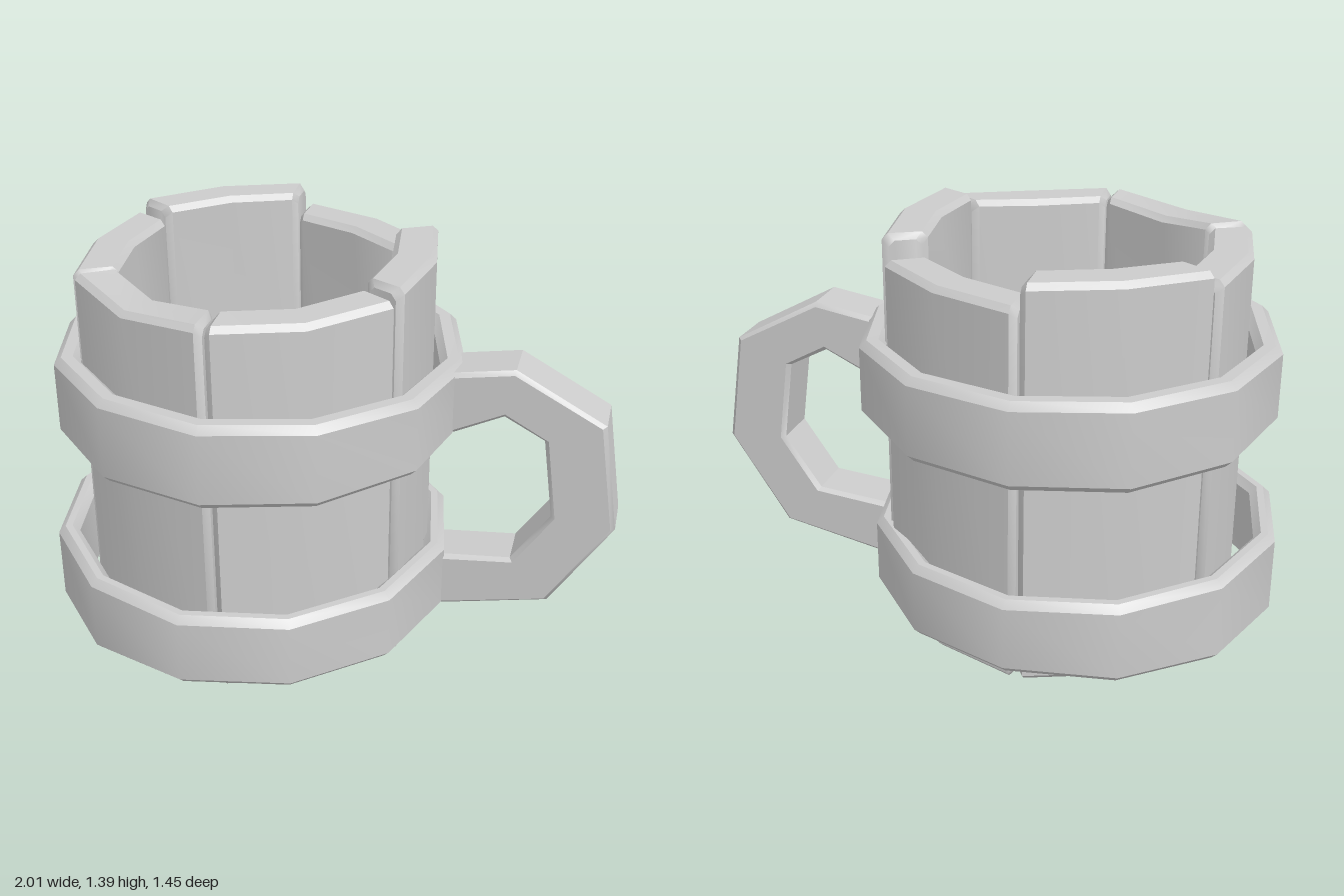
import * as THREE from 'three';
import { toCreasedNormals } from 'three/addons/utils/BufferGeometryUtils.js';

const material = new THREE.MeshStandardMaterial({ color: 0xcccccc, side: THREE.DoubleSide });
const CX = -0.26, CZ = -0.01; // axis of the mug body

// Rectangle u0..u1 by v0..v1 with chamfered corners, counter-clockwise
function chamferRect(u0, u1, v0, v1, c) {
  return [
    [u0 + c, v0], [u1 - c, v0], [u1, v0 + c], [u1, v1 - c],
    [u1 - c, v1], [u0 + c, v1], [u0, v1 - c], [u0, v0 + c],
  ];
}

// Skin over successive cross-sections; closed joins the last to the first
function loft(name, rings, closed) {
  const n = rings[0].length, index = [];
  const quads = closed ? rings.length : rings.length - 1;
  for (let r = 0; r < quads; r++) {
    const a = r * n, b = ((r + 1) % rings.length) * n;
    for (let i = 0; i < n; i++) {
      const j = (i + 1) % n;
      index.push(a + i, a + j, b + j, a + i, b + j, b + i);
    }
  }
  if (!closed) {
    const e = (rings.length - 1) * n;
    for (let i = 1; i < n - 1; i++) index.push(0, i + 1, i, e, e + i, e + i + 1);
  }
  const geometry = new THREE.BufferGeometry();
  geometry.setAttribute('position', new THREE.Float32BufferAttribute(rings.flat(2), 3));
  geometry.setIndex(index);
  const mesh = new THREE.Mesh(toCreasedNormals(geometry, 0.6), material);
  mesh.name = name;
  return mesh;
}

// Place a (radius, height) section at an angle around an upright axis
const around = (section, angle, cx, cz) =>
  section.map(([r, y]) => [cx + r * Math.cos(angle), y, cz + r * Math.sin(angle)]);

// One curved plank covering a sixth of the wall; tops = height at start, middle, end
function stave(k, bottom, tops) {
  const half = Math.PI / 6 - 0.006, bevel = 0.035;
  const rings = [-half, -half + bevel, 0, half - bevel, half].map((a, i) => {
    const inset = i === 0 || i === 4 ? 0.02 : 0;
    const grow = 0.025 * Math.abs(a) / half;
    const top = tops[Math.round(i / 2 + (i === 1 ? -0.5 : 0) + (i === 3 ? 0.1 : 0))];
    const section = chamferRect(0.45 + grow + inset, 0.6 + grow - inset, bottom + inset, top - inset, 0.02);
    return around(section, a + k * Math.PI / 3, CX, CZ);
  });
  return loft('stave', rings, false);
}

// Twelve-sided hoop, its edges waving a little in height
function hoop(name, o) {
  const rings = [];
  for (let i = 0; i < 12; i++) {
    const a = i * Math.PI / 6 + o.turn;
    const y0 = o.bottom - o.wave * Math.abs(Math.sin(a)), y1 = o.top + o.wave * Math.abs(Math.sin(a));
    const left = o.flare * Math.max(0, -Math.cos(a));
    const section = chamferRect(o.inner, o.outer, y0 - left, y1 + left, 0.025);
    rings.push(around(section, a, o.cx, o.cz));
  }
  return loft(name, rings, true);
}

export function createModel() {
  const model = new THREE.Group();

  // Wall of six uneven planks
  const staves = new THREE.Group();
  staves.name = 'staves';
  const planks = [
    [0.005, [1.39, 1.39, 1.39]],
    [0.0, [1.36, 1.34, 1.345]],
    [0.01, [1.345, 1.32, 1.35]],
    [0.01, [1.345, 1.345, 1.345]],
    [0.015, [1.385, 1.39, 1.39]],
    [0.015, [1.315, 1.315, 1.315]],
  ];
  planks.forEach(([bottom, tops], k) => staves.add(stave(k, bottom, tops)));
  model.add(staves);

  // Thin floor inside the wall
  const floor = new THREE.Mesh(new THREE.CircleGeometry(0.475, 12), material);
  floor.name = 'floor';
  floor.rotation.x = -Math.PI / 2;
  floor.position.set(CX, 0.03, CZ);
  model.add(floor);

  // Hoops
  model.add(hoop('upperHoop', {
    cx: -0.262, cz: -0.012, inner: 0.625, outer: 0.715, bottom: 0.775, top: 1.03, wave: 0.02, flare: 0.01, turn: 0,
  }));
  model.add(hoop('lowerHoop', {
    cx: -0.295, cz: 0.015, inner: 0.64, outer: 0.715, bottom: 0.075, top: 0.345, wave: 0, flare: 0.02, turn: 0.08,
  }));

  // Handle: inner and outer outline points, top to bottom
  const outline = [
    [[0.38, 0.77], [0.38, 1.01]],
    [[0.6, 0.875], [0.63, 1.05]],
    [[0.74, 0.8], [0.94, 0.88]],
    [[0.78, 0.51], [1.0, 0.49]],
    [[0.65, 0.32], [0.79, 0.165]],
    [[0.36, 0.295], [0.36, 0.078]],
  ];
  const rings = outline.map(([p, q]) => {
    const width = Math.hypot(q[0] - p[0], q[1] - p[1]);
    return chamferRect(0, width, -0.11, 0.08, 0.015).map(([u, z]) => {
      const t = u / width;
      return [p[0] + (q[0] - p[0]) * t, p[1] + (q[1] - p[1]) * t, z];
    });
  });
  model.add(loft('handle', rings, false));

  return model;
}
